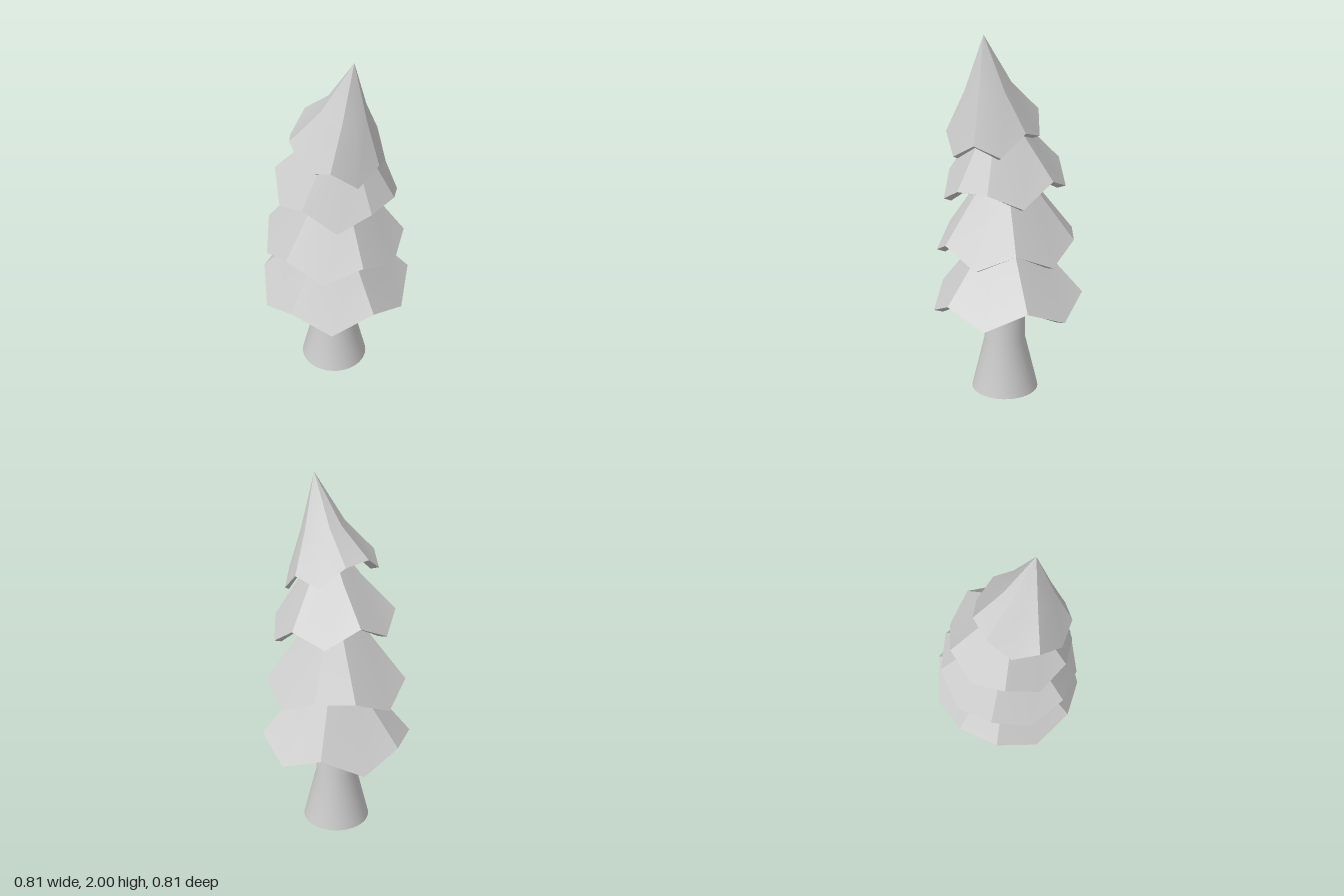
import * as THREE from 'three';
import { toCreasedNormals } from 'three/addons/utils/BufferGeometryUtils.js';

const SIDES = 11;

// Tiers of branches: centre and tilt are [x, z]; phase is the angle of the first
// corner in degrees; double marks the corner where two raised corners meet
const TIERS = [
  { name: 'bottomBranches', apex: [-0.01, 1.16, 0.01], bendY: 0.83, bend: 0.45, centre: [-0.005, -0.005],
    radius: 0.41, phase: -5, rimY: 0.537, zigzag: 0.05, tilt: [0.04, 0], double: 7 },
  { name: 'lowerBranches', apex: [-0.01, 1.47, 0.02], bendY: 1.15, bend: 0.48, centre: [-0.015, 0],
    radius: 0.377, phase: 1.5, rimY: 0.862, zigzag: 0.047, tilt: [0, 0], double: 9 },
  { name: 'upperBranches', apex: [0, 1.72, 0.06], bendY: 1.45, bend: 0.5, centre: [-0.01, 0.015],
    radius: 0.326, phase: -8, rimY: 1.212, zigzag: 0.047, tilt: [0, -0.14], double: 2 },
  { name: 'topBranches', apex: [-0.005, 2, 0.16], bendY: 1.71, bend: 0.5, centre: [-0.04, 0.065],
    radius: 0.248, phase: 0, rimY: 1.49, zigzag: 0.04, tilt: [-0.06, -0.28], double: 8 },
];

// Tilted polygon whose corners alternate between raised and drooping
function rimCorners({ centre, radius, phase, rimY, zigzag, tilt, double }) {
  return Array.from({ length: SIDES }, (_, k) => {
    const angle = THREE.MathUtils.degToRad(phase) + (k / SIDES) * Math.PI * 2;
    const dx = radius * Math.cos(angle), dz = radius * Math.sin(angle);
    const raised = ((k - double - 1 + SIDES) % SIDES) % 2 === 0;
    const y = rimY + (raised ? zigzag : -zigzag) + tilt[0] * dx + tilt[1] * dz;
    return [centre[0] + dx, y, centre[1] + dz];
  });
}

// Hollow skirt: outer slope, rim, narrow lip and inner slope as successive rings
function branchTier(tier) {
  const { apex, bendY, bend, rimY } = tier;
  const rim = rimCorners(tier);
  const ring = (f, height) => rim.map(([x, y, z]) => [
    apex[0] + (x - apex[0]) * f, height(y), apex[2] + (z - apex[2]) * f]);
  const rings = [
    rim.map(() => apex),
    ring(bend, (y) => bendY + (y - rimY) * 0.35),
    rim,
    ring(0.87, (y) => y - 0.012),
    ring(bend * 0.85, (y) => bendY - 0.07 + (y - rimY) * 0.35),
    rim.map(() => [apex[0], apex[1] - 0.12, apex[2]]),
  ];
  const pos = [];
  const last = rings.length - 2;
  for (let k = 0; k <= last; k++) {
    const up = rings[k], low = rings[k + 1];
    for (let i = 0; i < SIDES; i++) {
      const j = (i + 1) % SIDES;
      if (k < last) pos.push(...low[j], ...low[i], ...up[i]);
      if (k > 0) pos.push(...low[j], ...up[i], ...up[j]);
    }
  }
  const geometry = new THREE.BufferGeometry();
  geometry.setAttribute('position', new THREE.Float32BufferAttribute(pos, 3));
  return toCreasedNormals(geometry, 0.45);
}

export function createModel() {
  const tree = new THREE.Group();
  tree.name = 'tree';
  const grey = new THREE.MeshStandardMaterial({ color: 0xcccccc });
  grey.name = 'light grey';

  // Trunk with a flared foot and flat base
  const profile = [[0, 0], [0.185, 0], [0.113, 0.3], [0.113, 0.95], [0, 0.95]]
    .map(([r, y]) => new THREE.Vector2(r, y));
  const trunk = new THREE.Mesh(toCreasedNormals(new THREE.LatheGeometry(profile, 40), 0.5), grey);
  trunk.name = 'trunk';
  trunk.position.set(-0.02, 0, 0.005);
  tree.add(trunk);

  // Four stacked tiers of branches
  for (const tier of TIERS) {
    const mesh = new THREE.Mesh(branchTier(tier), grey);
    mesh.name = tier.name;
    tree.add(mesh);
  }
  return tree;
}
